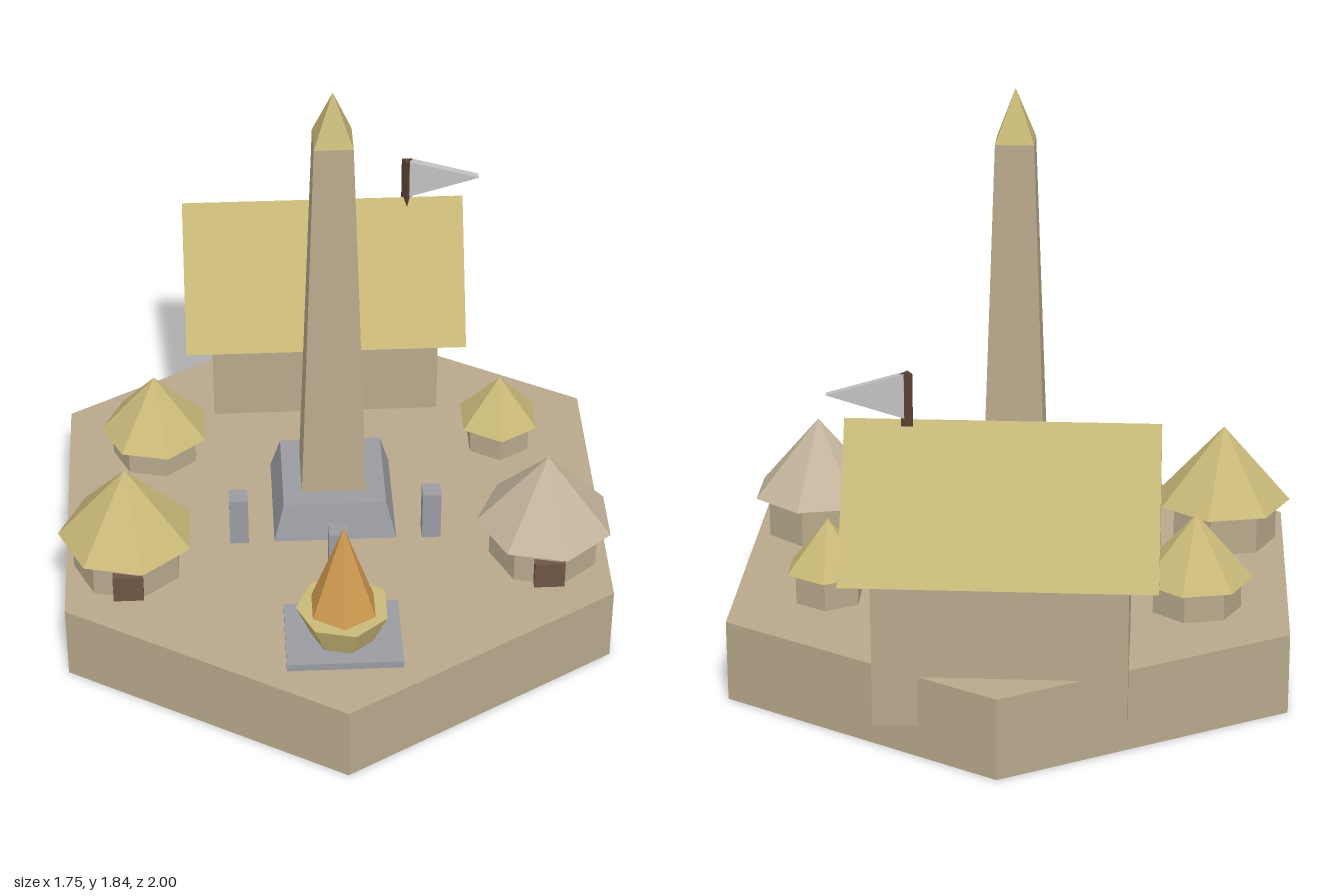
import * as THREE from 'three';

const mat = (name, color) => {
  const m = new THREE.MeshStandardMaterial({ color });
  m.name = name;
  return m;
};

export function createModel() {
  const earth = mat('sandstone', 0xb8a98c);
  const thatch = mat('thatch', 0xc8b878);
  const hide = mat('paleHide', 0xc4b49c);
  const stone = mat('greyStone', 0x9a9ca2);
  const wood = mat('doorWood', 0x6e5544);
  const poleWood = mat('poleWood', 0x5a4032);
  const cloth = mat('flagCloth', 0xc2c2c4);
  const flame = mat('flame', 0xd09a50);

  const root = new THREE.Group();
  root.name = 'village';
  const GROUND = 0.26;
  const CX = 0.01;

  // Faceted mesh with hard edges
  const add = (name, geo, material, x, y, z, parent = root) => {
    const g = geo.index ? geo.toNonIndexed() : geo;
    g.computeVertexNormals();
    const m = new THREE.Mesh(g, material);
    m.name = name;
    m.position.set(x, y, z);
    parent.add(m);
    return m;
  };

  // Box standing on y
  const box = (name, w, h, d, material, x, y, z, parent) =>
    add(name, new THREE.BoxGeometry(w, h, d), material, x, y + h / 2, z, parent);

  // Tapered prism from y0 to y1; odd-sided ones point a corner to -x
  const prism = (name, rTop, rBottom, y0, y1, sides, material, x, z, parent, turn = 0) => {
    const geo = rTop === 0
      ? new THREE.ConeGeometry(rBottom, y1 - y0, sides)
      : new THREE.CylinderGeometry(rTop, rBottom, y1 - y0, sides);
    geo.rotateY(turn);
    return add(name, geo, material, x, (y0 + y1) / 2, z, parent);
  };

  // Square frustum given by half widths
  const frustum = (name, top, bottom, y0, y1, material, x, z) =>
    prism(name, top * Math.SQRT2, bottom * Math.SQRT2, y0, y1, 4, material, x, z, root, Math.PI / 4);

  // Ground
  prism('groundSlab', 1, 1, 0, GROUND, 6, earth, CX, 0);

  // Obelisk
  frustum('obeliskPlinth', 0.165, 0.197, GROUND, 0.385, stone, CX, 0);
  frustum('obeliskShaft', 0.06, 0.104, 0.385, 1.67, earth, CX, 0);
  frustum('obeliskTip', 0, 0.06, 1.67, 1.835, thatch, CX, 0);

  // Standing stones
  for (const [x, z] of [[-0.3, 0.17], [0.32, 0.17], [CX, 0.35]]) {
    box('standingStone', 0.06, 0.175, 0.06, stone, x, GROUND, z);
  }

  // Huts
  const hut = (x, z, r, sides, eave, apex, roofMat, hasDoor) => {
    const g = new THREE.Group();
    g.name = 'hut';
    root.add(g);
    const turn = sides === 7 ? -Math.PI / 2 : 0;
    prism('hutWall', r * 0.8, r * 0.8, GROUND, eave, sides, earth, x, z, g, turn);
    prism('hutRoof', 0, r, eave, apex, sides, roofMat, x, z, g, turn);
    if (hasDoor) box('hutDoor', 0.096, 0.095, 0.04, wood, x, GROUND, z + 0.16, g);
  };
  hut(-0.655, 0.28, 0.22, 7, 0.395, 0.645, thatch, true);
  hut(0.675, 0.28, 0.22, 7, 0.395, 0.645, hide, true);
  hut(-0.565, -0.29, 0.18, 7, 0.36, 0.567, thatch, false);
  hut(0.58, -0.29, 0.14, 6, 0.36, 0.525, thatch, false);

  // Fire bowl
  box('fireSlab', 0.36, 0.025, 0.28, stone, CX, GROUND, 0.665);
  prism('fireBowl', 0.147, 0.1, 0.285, 0.395, 7, thatch, CX, 0.665, root, -Math.PI / 2);
  prism('fireFlame', 0, 0.111, 0.395, 0.71, 6, flame, CX, 0.665);

  // Hall with gabled roof
  const hallZ = -0.668;
  box('hallWalls', 0.758, 0.475, 0.385, earth, CX, 0.1, hallZ);
  box('hallDoor', 0.14, 0.22, 0.03, wood, CX, GROUND, -0.47);
  const gable = new THREE.Shape([
    new THREE.Vector2(-0.273, 0), new THREE.Vector2(0.273, 0), new THREE.Vector2(0, 0.425),
  ]);
  const roofGeo = new THREE.ExtrudeGeometry(gable, { depth: 0.932, bevelEnabled: false });
  roofGeo.translate(0, 0, -0.466).rotateY(Math.PI / 2);
  add('hallRoof', roofGeo, thatch, CX, 0.575, hallZ);

  // Flag on the ridge
  prism('flagPole', 0.02, 0.02, 0.93, 1.145, 3, poleWood, 0.29, -0.67);
  const pennant = new THREE.Shape([
    new THREE.Vector2(0, 0), new THREE.Vector2(0.23, 0.068), new THREE.Vector2(0, 0.137),
  ]);
  const flagGeo = new THREE.ExtrudeGeometry(pennant, { depth: 0.026, bevelEnabled: false });
  add('flag', flagGeo, cloth, 0.298, 1.007, -0.685);

  return root;
}
